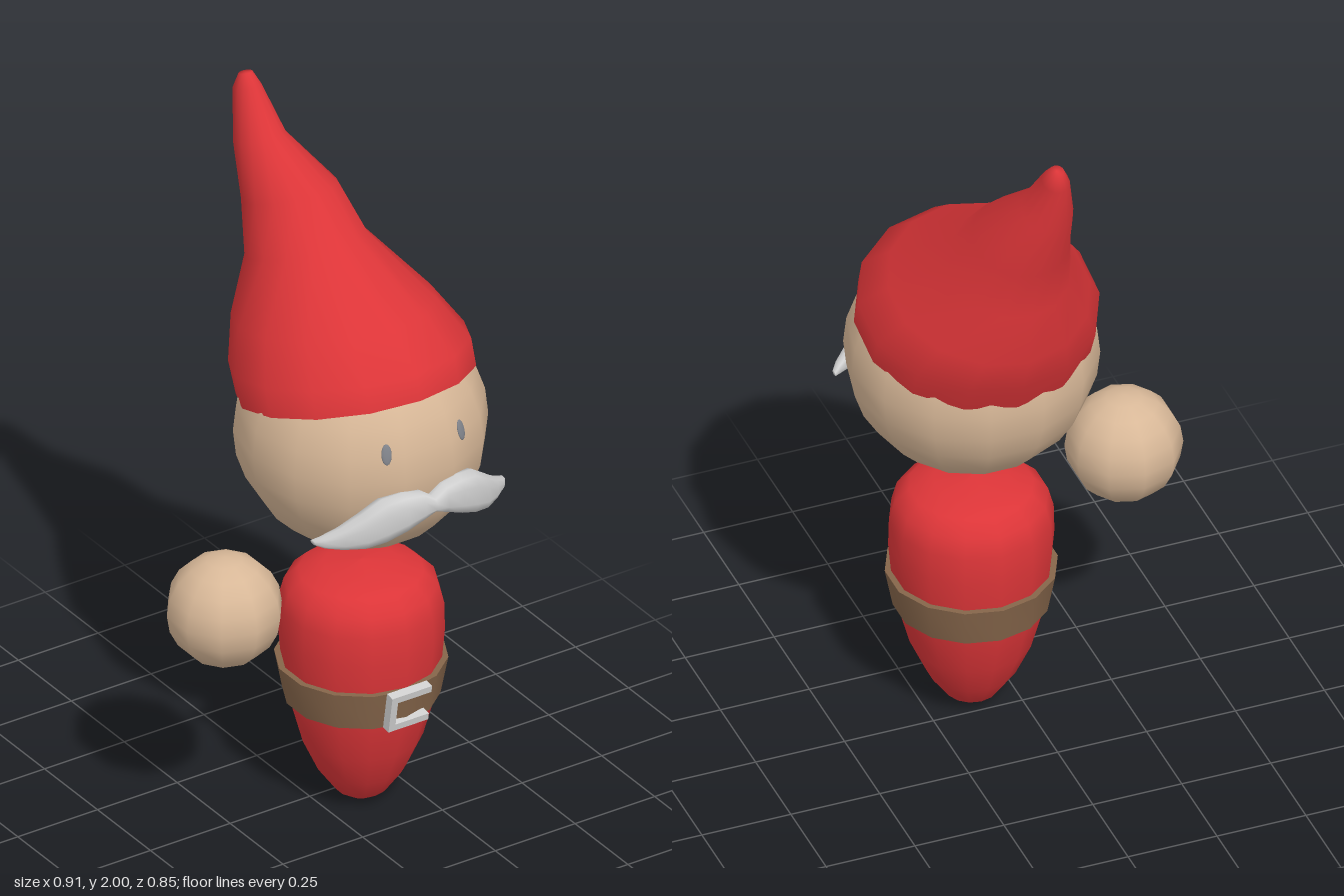
import * as THREE from 'three';
import { toCreasedNormals } from 'three/addons/utils/BufferGeometryUtils.js';

const material = (name, color, side = THREE.FrontSide) => {
  const m = new THREE.MeshStandardMaterial({ color, side });
  m.name = name;
  return m;
};

// Skin over a row of closed rings (each an array of Vector3), with end fans
function loft(rings, capStart, capEnd) {
  const n = rings[0].length;
  const points = rings.flat();
  const index = [];
  for (let i = 0; i < rings.length - 1; i++) {
    for (let j = 0; j < n; j++) {
      const a = i * n + j, b = i * n + (j + 1) % n;
      index.push(a, b, b + n, a, b + n, a + n);
    }
  }
  const cap = (i, flip) => {
    const centre = new THREE.Vector3();
    rings[i].forEach((p) => centre.addScaledVector(p, 1 / n));
    points.push(centre);
    for (let j = 0; j < n; j++) {
      const a = i * n + j, b = i * n + (j + 1) % n;
      if (flip) index.push(b, a, points.length - 1);
      else index.push(a, b, points.length - 1);
    }
  };
  if (capStart) cap(0, true);
  if (capEnd) cap(rings.length - 1, false);
  const g = new THREE.BufferGeometry().setFromPoints(points);
  g.setIndex(index);
  g.computeVertexNormals();
  return g;
}

// Tilted elliptical rings: [front y, front z, back y, back z, min x, max x]
function hatGeometry() {
  const rows = [
    [1.34, 0.345, 1.165, -0.27, -0.20, 0.44],
    [1.41, 0.325, 1.25, -0.31, -0.20, 0.44],
    [1.49, 0.22, 1.36, -0.35, -0.145, 0.385],
    [1.63, -0.02, 1.50, -0.34, -0.055, 0.27],
    [1.74, -0.12, 1.65, -0.37, -0.03, 0.23],
    [1.86, -0.26, 1.80, -0.40, -0.008, 0.13],
    [1.97, -0.345, 1.945, -0.425, 0.022, 0.096],
    [2.0, -0.375, 1.99, -0.41, 0.04, 0.078],
  ];
  const sides = 14;
  const rings = rows.map(([fy, fz, by, bz, x0, x1]) =>
    Array.from({ length: sides }, (_, j) => {
      const a = (j / sides) * Math.PI * 2, c = Math.cos(a);
      return new THREE.Vector3(
        (x0 + x1) / 2 + ((x1 - x0) / 2) * Math.sin(a),
        (fy + by) / 2 + ((fy - by) / 2) * c,
        (fz + bz) / 2 + ((fz - bz) / 2) * c);
    }));
  return loft(rings, false, true);
}

// Upright rounded sections from the centre out: [x, top, bottom, front z, back z]
function moustacheGeometry() {
  const half = [
    [0, 1.08, 1.037, 0.428, 0.37],
    [0.035, 1.106, 1.022, 0.43, 0.365],
    [0.085, 1.113, 0.998, 0.426, 0.355],
    [0.14, 1.103, 0.975, 0.412, 0.34],
    [0.19, 1.065, 0.963, 0.39, 0.325],
    [0.24, 1.024, 0.962, 0.355, 0.305],
    [0.28, 0.996, 0.967, 0.322, 0.285],
    [0.298, 0.984, 0.973, 0.297, 0.275],
  ];
  const mirrored = half.slice(1).reverse().map(([x, ...rest]) => [-x, ...rest]);
  const soft = (v) => Math.sign(v) * Math.abs(v) ** 0.75;
  const sides = 10;
  const rings = [...mirrored, ...half].map(([x, top, bottom, front, back]) =>
    Array.from({ length: sides }, (_, j) => {
      const a = (j / sides) * Math.PI * 2;
      return new THREE.Vector3(x,
        (top + bottom) / 2 + ((top - bottom) / 2) * soft(Math.cos(a)),
        (front + back) / 2 + ((front - back) / 2) * soft(Math.sin(a)));
    }));
  return loft(rings, true, true);
}

const lathe = (profile, sides) =>
  new THREE.LatheGeometry(profile.map(([r, y]) => new THREE.Vector2(r, y)), sides);

export function createModel() {
  const red = material('red cloth', 0xdc3538, THREE.DoubleSide);
  const skin = material('skin', 0xd8b898);
  const brown = material('brown leather', 0x85654a);
  const silver = material('silver', 0xd0d0d0);
  const grey = material('eye grey', 0x80838a);

  const model = new THREE.Group();
  model.name = 'gnome';
  const add = (name, geometry, mat, x = 0, y = 0, z = 0, parent = model) => {
    const mesh = new THREE.Mesh(geometry, mat);
    mesh.name = name;
    mesh.position.set(x, y, z);
    parent.add(mesh);
    return mesh;
  };
  const cx = 0.118, cz = 0.065;

  // Tapered body
  add('body', lathe([
    [0, 0.005], [0.035, 0.012], [0.07, 0.035], [0.12, 0.105], [0.163, 0.2],
    [0.193, 0.31], [0.212, 0.43], [0.22, 0.52], [0.218, 0.6], [0.203, 0.655],
    [0.165, 0.692], [0.1, 0.712], [0, 0.722],
  ], 14), red, cx, 0, cz);

  // Belt band, sloping with the body
  add('belt', toCreasedNormals(lathe([
    [0.185, 0.325], [0.208, 0.325], [0.229, 0.435], [0.2, 0.435], [0.185, 0.325],
  ], 14), 0.6), brown, cx, 0, cz);

  // Buckle with an open side
  const buckle = new THREE.Group();
  buckle.name = 'buckle';
  buckle.position.set(0.118, 0.38, 0.284);
  buckle.rotation.x = 0.17;
  model.add(buckle);
  add('buckleBar', new THREE.BoxGeometry(0.02, 0.112, 0.026), silver, -0.052, 0, 0, buckle);
  for (const side of [-1, 1]) {
    add('buckleArm', new THREE.BoxGeometry(0.105, 0.02, 0.026), silver, 0.01, side * 0.046, 0, buckle);
  }

  // Head and the single hand
  const head = new THREE.Vector3(cx, 1.138, 0.062);
  add('head', new THREE.SphereGeometry(0.337, 14, 14), skin, ...head);
  add('rightHand', new THREE.SphereGeometry(0.156, 10, 10).rotateY(Math.PI / 2), skin, -0.31, 0.71, 0.063);

  // Eyes, thin ovals set on the face
  for (const side of [-1, 1]) {
    const out = new THREE.Vector3(side * 0.118, 0.085, 0.302).normalize();
    const eye = add(side < 0 ? 'rightEye' : 'leftEye',
      new THREE.SphereGeometry(1, 12, 8).scale(0.014, 0.029, 0.0045),
      grey, ...head.clone().addScaledVector(out, 0.331));
    eye.lookAt(eye.position.clone().add(out));
  }

  add('moustache', moustacheGeometry(), silver, cx);
  add('hat', hatGeometry(), red);
  return model;
}
